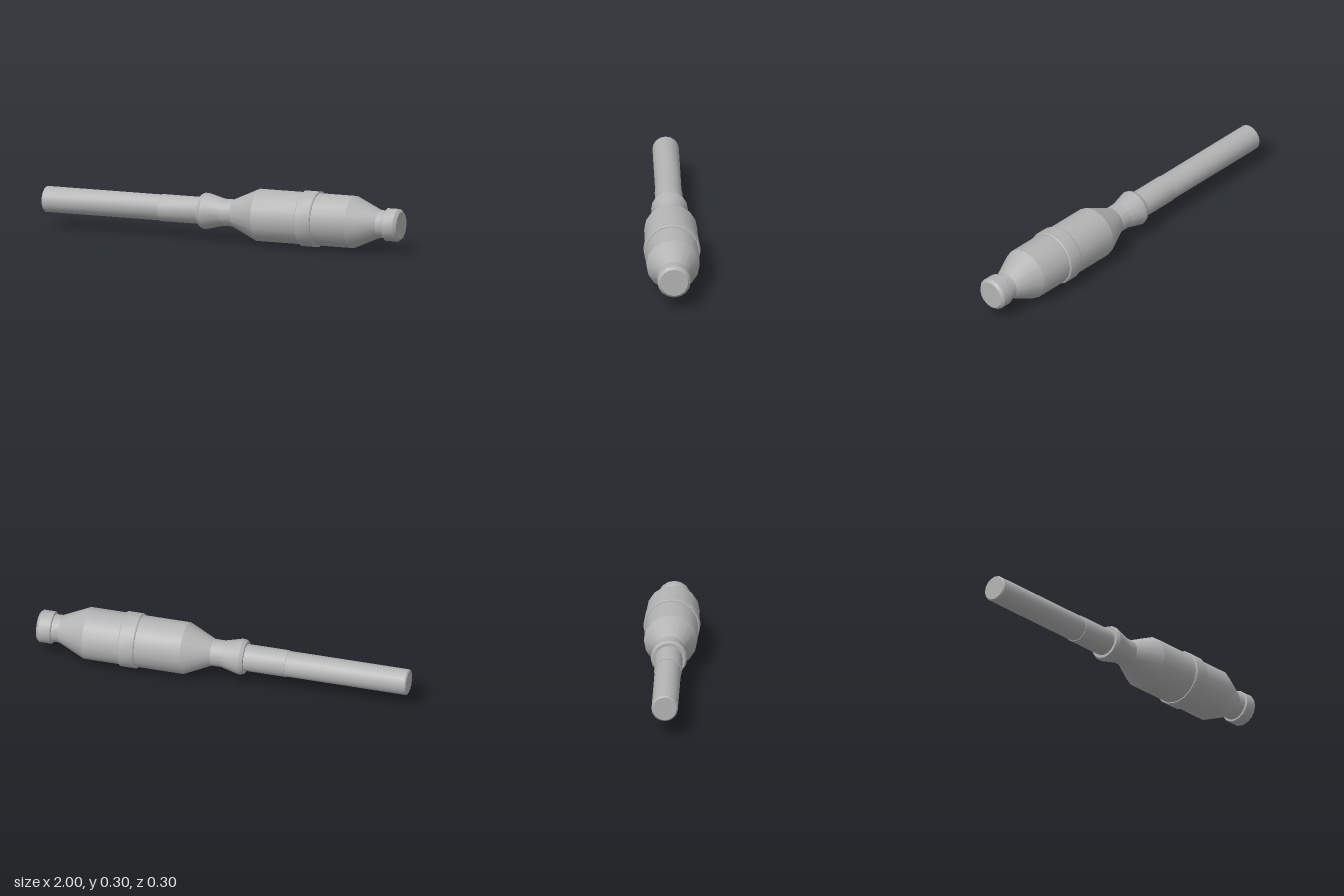
import * as THREE from 'three';
import { toCreasedNormals } from 'three/addons/utils/BufferGeometryUtils.js';

const AXIS_HEIGHT = 0.15;
const SIDES = 16;

// Each part is a turned profile of [x along the axis, radius], closed at both ends.
const PARTS = {
  handle: [[-1, 0], [-1, 0.062], [-0.993, 0.069], [-0.34, 0.069], [-0.34, 0]],
  handleSleeve: [[-0.345, 0], [-0.345, 0.072], [-0.11, 0.072], [-0.11, 0]],
  collarAndNeck: [
    [-0.12, 0], [-0.12, 0.087], [-0.1, 0.096], [-0.085, 0.094],
    [0, 0.072], [0.07, 0.072], [0.07, 0],
  ],
  body: [
    [0.06, 0], [0.06, 0.072], [0.205, 0.139], [0.735, 0.139],
    [0.88, 0.074], [0.93, 0.074], [0.93, 0],
  ],
  band: [
    [0.453, 0.13], [0.453, 0.144], [0.459, 0.148],
    [0.535, 0.148], [0.541, 0.144], [0.541, 0.13],
  ],
  endCap: [[0.92, 0], [0.92, 0.083], [0.924, 0.087], [0.985, 0.087], [1, 0.073], [1, 0]],
};

// Lathe a profile, lay it along x and keep its sharp rims.
function turned(profile) {
  const points = profile.map(([x, r]) => new THREE.Vector2(r, x));
  const geometry = new THREE.LatheGeometry(points, SIDES);
  geometry.rotateZ(-Math.PI / 2);
  return toCreasedNormals(geometry, THREE.MathUtils.degToRad(23.5));
}

export function createModel() {
  const group = new THREE.Group();
  group.name = 'turnedTool';

  const grey = new THREE.MeshStandardMaterial({ color: 0xb4b4b4 });
  grey.name = 'plainGrey';

  for (const [name, profile] of Object.entries(PARTS)) {
    const mesh = new THREE.Mesh(turned(profile), grey);
    mesh.name = name;
    mesh.position.y = AXIS_HEIGHT;
    group.add(mesh);
  }
  return group;
}
